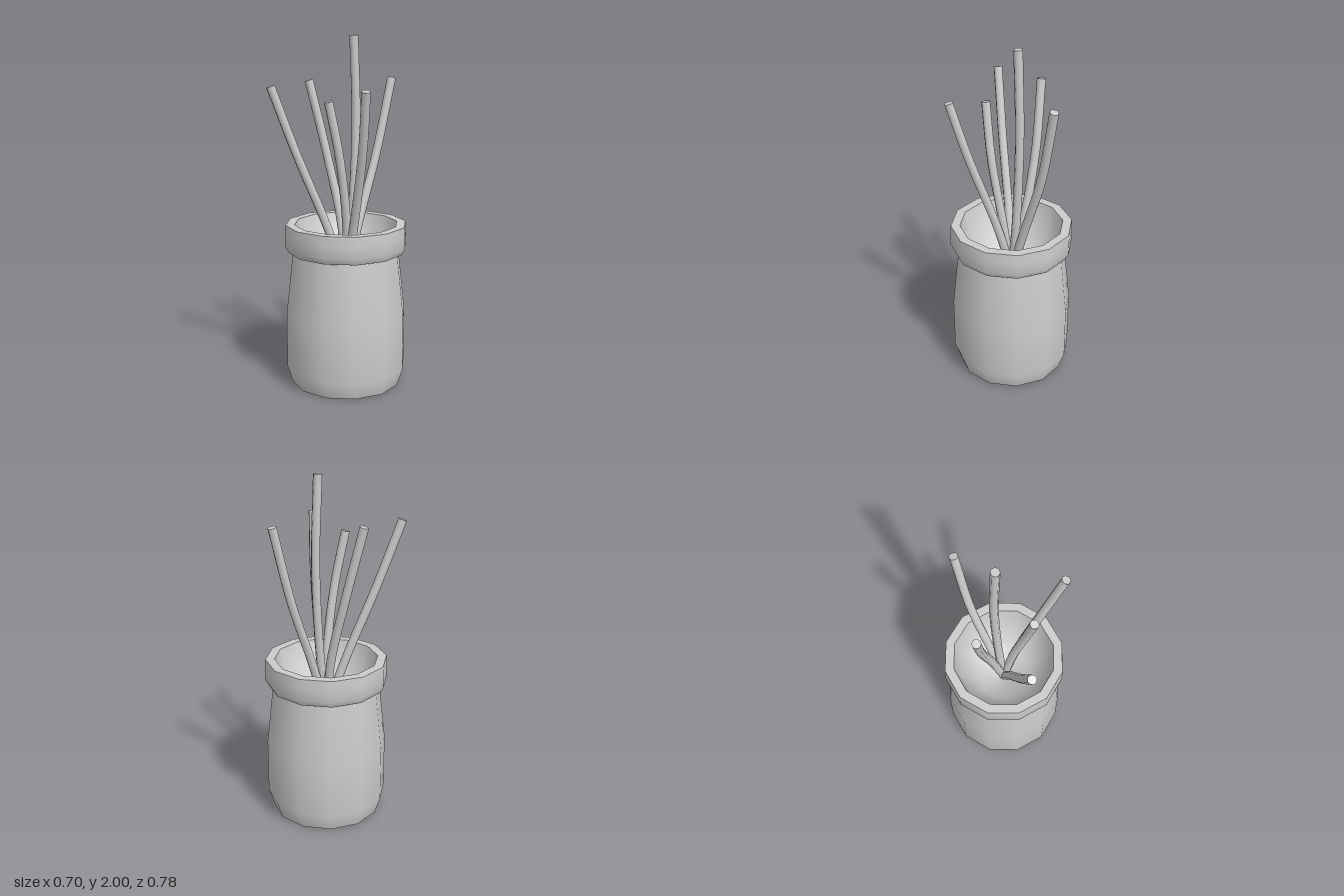
import * as THREE from 'three';

const material = new THREE.MeshStandardMaterial({ color: 0xcccccc });
const POT_Z = -0.018;
const SIDES = 12;

// One smooth band of the pot; separate bands keep the edges between them sharp
function band(name, profile) {
  const points = profile.map(([r, y]) => new THREE.Vector2(r, y));
  const mesh = new THREE.Mesh(new THREE.LatheGeometry(points, SIDES), material);
  mesh.name = name;
  return mesh;
}

// A bent rod through the given points, closed by a flat tip
function rod(points, radius = 0.025) {
  const group = new THREE.Group();
  const curve = new THREE.CatmullRomCurve3(points.map(p => new THREE.Vector3(...p)));
  const stem = new THREE.Mesh(new THREE.TubeGeometry(curve, 12, radius, 8), material);
  stem.name = 'rodStem';
  const tip = new THREE.Mesh(new THREE.CircleGeometry(radius, 8), material);
  tip.name = 'rodTip';
  const end = curve.getPoint(1);
  tip.position.copy(end);
  tip.lookAt(end.clone().add(curve.getTangent(1)));
  group.add(stem, tip);
  return group;
}

export function createModel() {
  const model = new THREE.Group();
  model.name = 'potWithRods';

  // Pot: base, tapering body, overhanging rim and hollow bowl
  const pot = new THREE.Group();
  pot.name = 'pot';
  pot.position.z = POT_Z;
  pot.add(
    band('potBase', [[0, 0], [0.315, 0]]),
    band('potBody', [[0.315, 0], [0.348, 0.1], [0.348, 0.42], [0.307, 0.79]]),
    band('rimUnderside', [[0.3, 0.785], [0.333, 0.785]]),
    band('rimSide', [[0.333, 0.785], [0.352, 0.82], [0.352, 0.89], [0.348, 0.945]]),
    band('rimTop', [[0.348, 0.945], [0.296, 0.945]]),
    band('potInside', [[0.296, 0.945], [0.26, 0.8], [0.16, 0.66], [0, 0.61]])
  );
  model.add(pot);

  // Rods fan out from the bottom of the bowl: rim height, middle, tip
  const rods = {
    leftRod: [[0.09, 0.945, 0.0], [0.233, 1.395, 0.06], [0.315, 1.72, 0.11]],
    backRod: [[-0.012, 0.945, -0.127], [-0.02, 1.315, -0.26], [-0.01, 1.755, -0.368]],
    tallRod: [[0, 0.945, -0.06], [0, 1.5, -0.09], [0, 2, -0.073]],
    rightRod: [[-0.07, 0.945, -0.037], [-0.17, 1.34, -0.01], [-0.25, 1.745, 0.05]],
    frontRod: [[-0.055, 0.945, 0.085], [-0.12, 1.34, 0.235], [-0.182, 1.73, 0.366]],
    shortRod: [[0.04, 0.945, 0.012], [0.066, 1.33, 0.083], [0.053, 1.65, 0.15]]
  };
  for (const [name, points] of Object.entries(rods)) {
    const part = rod([[0, 0.61, POT_Z], ...points]);
    part.name = name;
    model.add(part);
  }
  return model;
}
